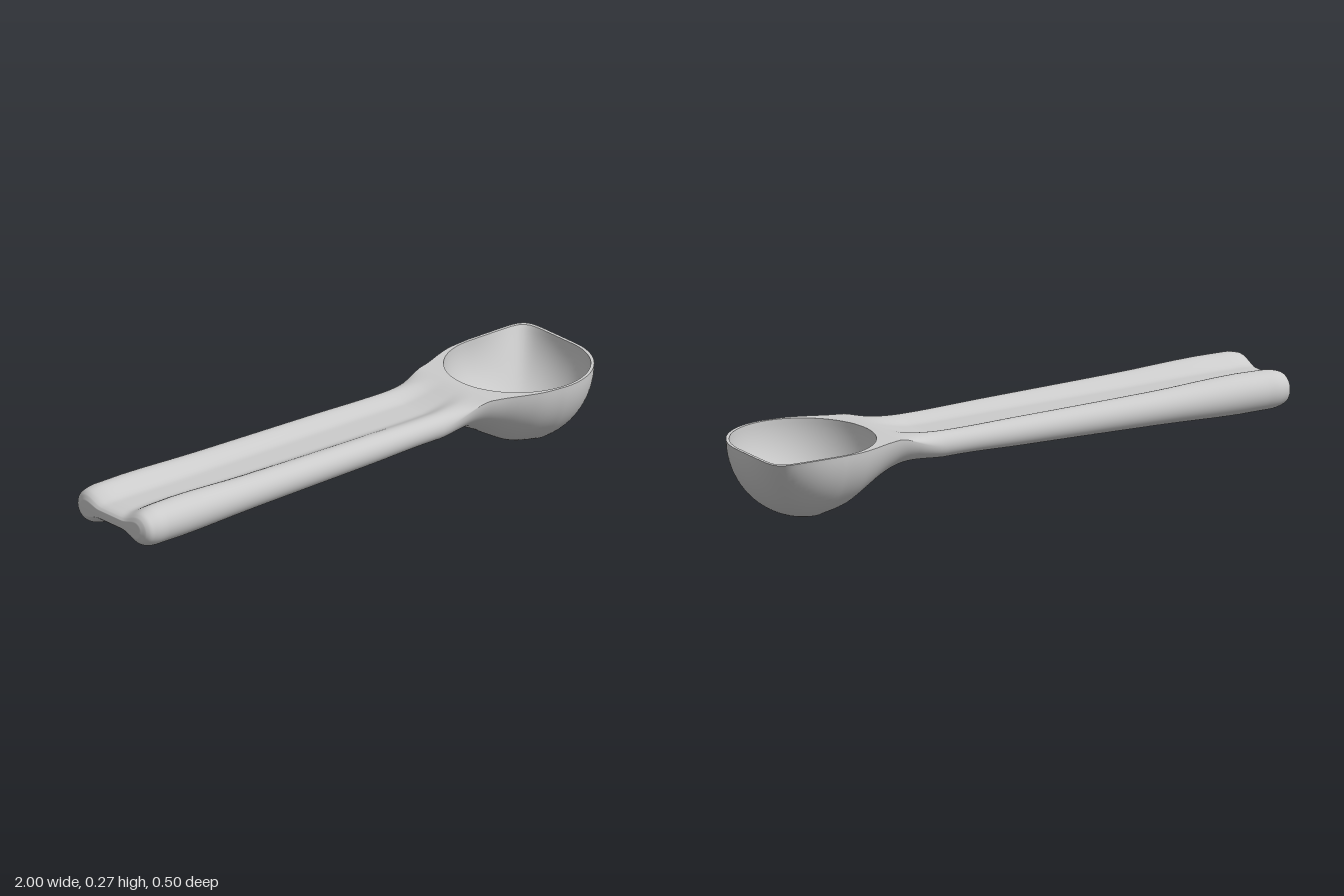
import * as THREE from 'three';
import { mergeGeometries, mergeVertices } from 'three/addons/utils/BufferGeometryUtils.js';

const RIM = 0.255, CX = 0.75, RADIUS = 0.25, WALL = 0.011, NECK = 0.49;
const N = 48; // points across each section

// x, half width, top height, bottom height along handle and neck
const keys = [
  [-1, 0.148, 0.228, 0.176], [-0.99, 0.170, 0.246, 0.159], [-0.96, 0.184, 0.262, 0.142],
  [-0.9, 0.186, 0.268, 0.136], [-0.5, 0.178, 0.257, 0.145], [0, 0.168, 0.247, 0.153],
  [0.3, 0.160, 0.242, 0.155], [0.4, 0.163, 0.247, 0.142], [0.45, 0.170, 0.252, 0.128],
  [NECK, 0.180, RIM, 0.112], [0.54, 0.195, RIM, 0.088], [0.6, 0.219, RIM, 0.053],
  [0.66, 0.239, RIM, 0.021], [CX, RADIUS, RIM, 0],
];
const profile = new THREE.CubicInterpolant(
  keys.map(k => k[0]), keys.flatMap(k => k.slice(1)), 3, new Float32Array(3));

// Stations along x: every gap between keys is subdivided
const stations = [];
keys.forEach((k, i) => {
  if (i === 0) return;
  const x0 = keys[i - 1][0];
  for (let s = 0; s < 5; s++) stations.push(x0 + (k[0] - x0) * s / 5);
});
stations.push(CX);
const neckIndex = stations.findIndex(x => Math.abs(x - NECK) < 1e-6);

// Grid surface from fn(i, j)
function grid(ni, nj, fn) {
  const pos = [], idx = [];
  for (let i = 0; i <= ni; i++) for (let j = 0; j <= nj; j++) pos.push(...fn(i, j));
  for (let i = 0; i < ni; i++) for (let j = 0; j < nj; j++) {
    const a = i * (nj + 1) + j, b = a + nj + 1;
    idx.push(a, b, a + 1, b, b + 1, a + 1);
  }
  const g = new THREE.BufferGeometry();
  g.setAttribute('position', new THREE.Float32BufferAttribute(pos, 3));
  g.setIndex(idx);
  return g;
}

// Point on a section; side +1 is the top skin, -1 the underside.
// Two rounded rails joined by a thin web blend into a half ellipse at the bowl.
function sectionPoint(x, u, side) {
  const [w, t, bot] = profile.evaluate(x);
  const top = Math.min(t, x > 0.4 ? RIM : 1);
  const h = (top - bot) / 2, rail = h / w, a = Math.abs(u), peak = 1 - rail;
  const e = a > peak
    ? h * Math.sqrt(Math.max(0, 1 - ((a - peak) / rail) ** 2))
    : h * (1 - 0.5 * THREE.MathUtils.smoothstep(peak - a, 0, 0.45));
  const handleY = (top + bot) / 2 + side * e;
  const bowlY = side > 0 ? top : top - (top - bot) * Math.sqrt(Math.max(0, 1 - u * u));
  const blend = THREE.MathUtils.smoothstep(x, 0.28, NECK);
  return [x, THREE.MathUtils.lerp(handleY, bowlY, blend), w * u];
}
const across = j => -Math.cos(Math.PI * j / N);

// Rim radius: round, with one squared-off pouring corner at +x, -z
function rimRadius(theta, r) {
  const c = Math.cos(theta), s = Math.sin(theta);
  if (c <= 0 || s >= 0) return r;
  return r * (c ** 10 + (-s) ** 10) ** -0.1;
}

// Hemisphere whose upper part is drawn out to the pouring corner
function bowlPoint(theta, phi, r, depth) {
  const k = (1 - Math.cos(phi)) ** 2;
  const d = Math.sin(phi) * (r + (rimRadius(theta, r) - r) * k);
  return [CX + d * Math.cos(theta), RIM - depth * Math.cos(phi), d * Math.sin(theta)];
}

export function createModel() {
  const group = new THREE.Group();
  const material = new THREE.MeshStandardMaterial({ color: 0xcccccc, side: THREE.DoubleSide });
  const add = (name, geometry) => {
    geometry.computeVertexNormals();
    const mesh = new THREE.Mesh(geometry, material);
    mesh.name = name;
    group.add(mesh);
  };

  // Handle, neck and bowl exterior as one smooth skin
  const M = N / 2;
  const skin = mergeGeometries([
    grid(stations.length - 1, N, (i, j) => sectionPoint(stations[i], across(j), -1)),
    grid(neckIndex, N, (i, j) => sectionPoint(stations[i], across(N - j), 1)),
    grid(1, N, (i, j) => sectionPoint(-1, across(j), i ? -1 : 1)),
    grid(M, N, (i, j) => bowlPoint(Math.PI * (j / N - 0.5), Math.PI / 2 * i / M, RADIUS, RIM)),
  ]);
  add('handleAndBowlExterior', mergeVertices(skin, 1e-4));

  // Hollow of the bowl
  const inner = RADIUS - WALL;
  const hollow = grid(M, 96, (i, j) =>
    bowlPoint(Math.PI * 2 * j / 96, Math.PI / 2 * (1 - i / M), inner, RIM - 0.014));
  add('bowlInterior', mergeVertices(hollow, 1e-4));

  // Flat rim around the hollow
  const outline = [], hole = [];
  const neckXs = stations.slice(neckIndex);
  const halfWidth = x => profile.evaluate(x)[0];
  neckXs.forEach(x => outline.push(new THREE.Vector2(x, halfWidth(x))));
  for (let j = 1; j < N; j++) {
    const p = bowlPoint(Math.PI * (j / N - 0.5), Math.PI / 2, RADIUS, RIM);
    outline.push(new THREE.Vector2(p[0], -p[2]));
  }
  [...neckXs].reverse().forEach(x => outline.push(new THREE.Vector2(x, -halfWidth(x))));
  for (let j = 0; j < 96; j++) {
    const p = bowlPoint(Math.PI * 2 * j / 96, Math.PI / 2, inner, RIM);
    hole.push(new THREE.Vector2(p[0], -p[2]));
  }
  const rimShape = new THREE.Shape(outline);
  rimShape.holes.push(new THREE.Path(hole));
  const rim = new THREE.ShapeGeometry(rimShape);
  rim.rotateX(-Math.PI / 2);
  rim.translate(0, RIM, 0);
  add('bowlRim', rim);

  return group;
}
